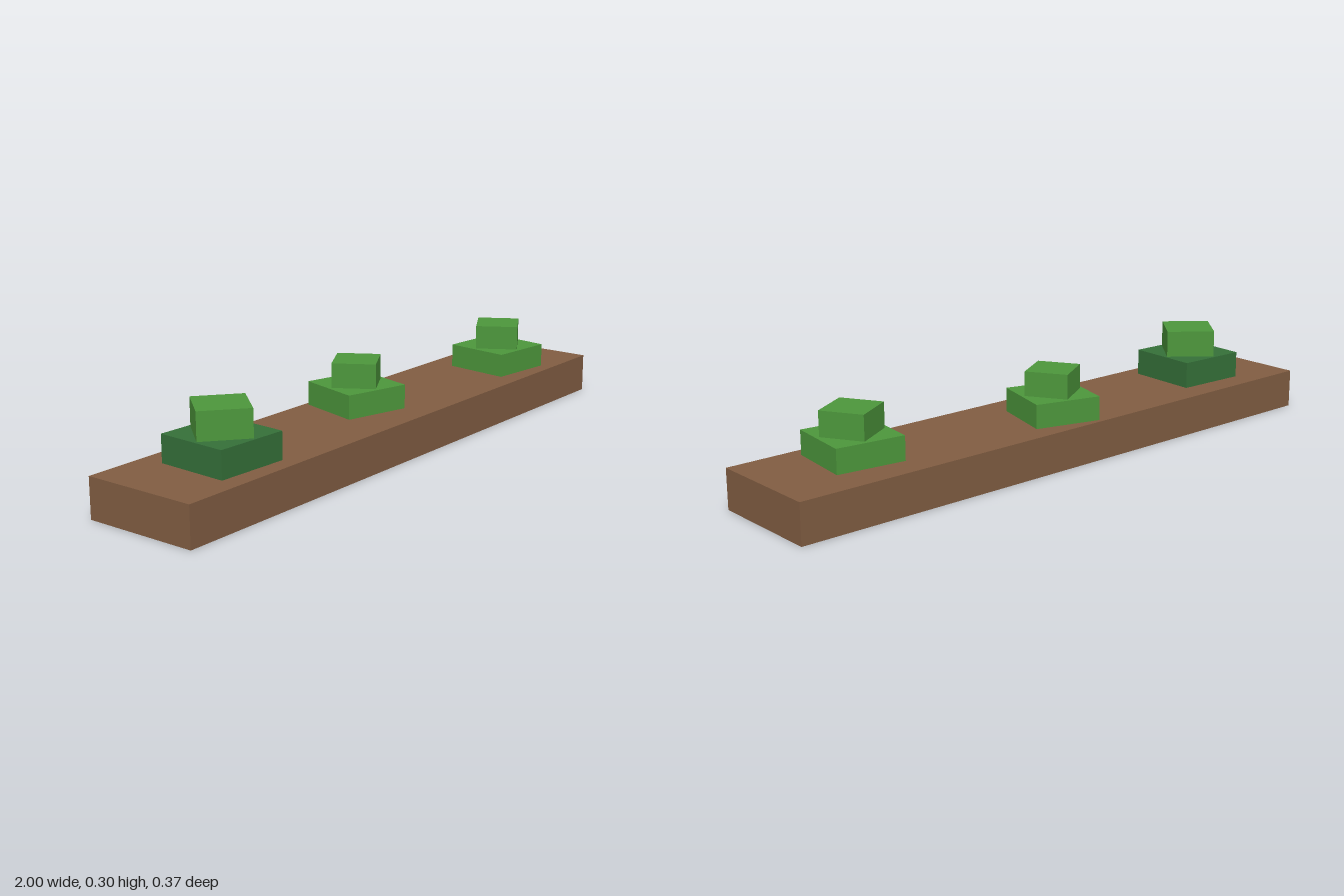
import * as THREE from 'three';

function material(name, color, side = THREE.FrontSide) {
  const m = new THREE.MeshStandardMaterial({ color, side });
  m.name = name;
  return m;
}

// Square block: centre x/z, bottom and top height, side length, turn in degrees (x towards z)
function block(name, mat, x, z, y0, y1, side, turn) {
  const mesh = new THREE.Mesh(new THREE.BoxGeometry(side, y1 - y0, side), mat);
  mesh.position.set(x, (y0 + y1) / 2, z);
  mesh.rotation.y = -THREE.MathUtils.degToRad(turn);
  mesh.name = name;
  return mesh;
}

export function createModel() {
  const soil = material('soil brown', 0x815d42, THREE.DoubleSide);
  const leaf = material('leaf green', 0x4d973c);
  const darkLeaf = material('dark leaf green', 0x357039);
  const model = new THREE.Group();
  model.name = 'plantBed';

  // Thin-walled soil bed, open underneath: drop the box's bottom face
  const bedGeo = new THREE.BoxGeometry(2, 0.125, 0.374);
  const index = Array.from(bedGeo.index.array);
  index.splice(18, 6);
  bedGeo.setIndex(index);
  bedGeo.clearGroups();
  const bed = new THREE.Mesh(bedGeo, soil);
  bed.position.y = 0.0625;
  bed.name = 'soilBed';
  model.add(bed);

  // Plants: a wide lower block with a smaller turned block on top
  const plants = [
    { name: 'rightPlant', mat: darkLeaf, x: -0.689, z: 0.012, mid: 0.21, top: 0.296, low: [0.235, 2.5], high: [0.156, 39.8] },
    { name: 'middlePlant', mat: leaf, x: -0.021, z: -0.041, mid: 0.201, top: 0.279, low: [0.215, 15.3], high: [0.137, 59] },
    { name: 'leftPlant', mat: leaf, x: 0.684, z: 0.024, mid: 0.201, top: 0.279, low: [0.218, 6.6], high: [0.139, 59.5] },
  ];
  for (const p of plants) {
    const plant = new THREE.Group();
    plant.name = p.name;
    plant.add(block('lowerLeaves', p.mat, p.x, p.z, 0.125, p.mid, ...p.low));
    plant.add(block('upperLeaves', leaf, p.x, p.z, p.mid, p.top, ...p.high));
    model.add(plant);
  }
  return model;
}
